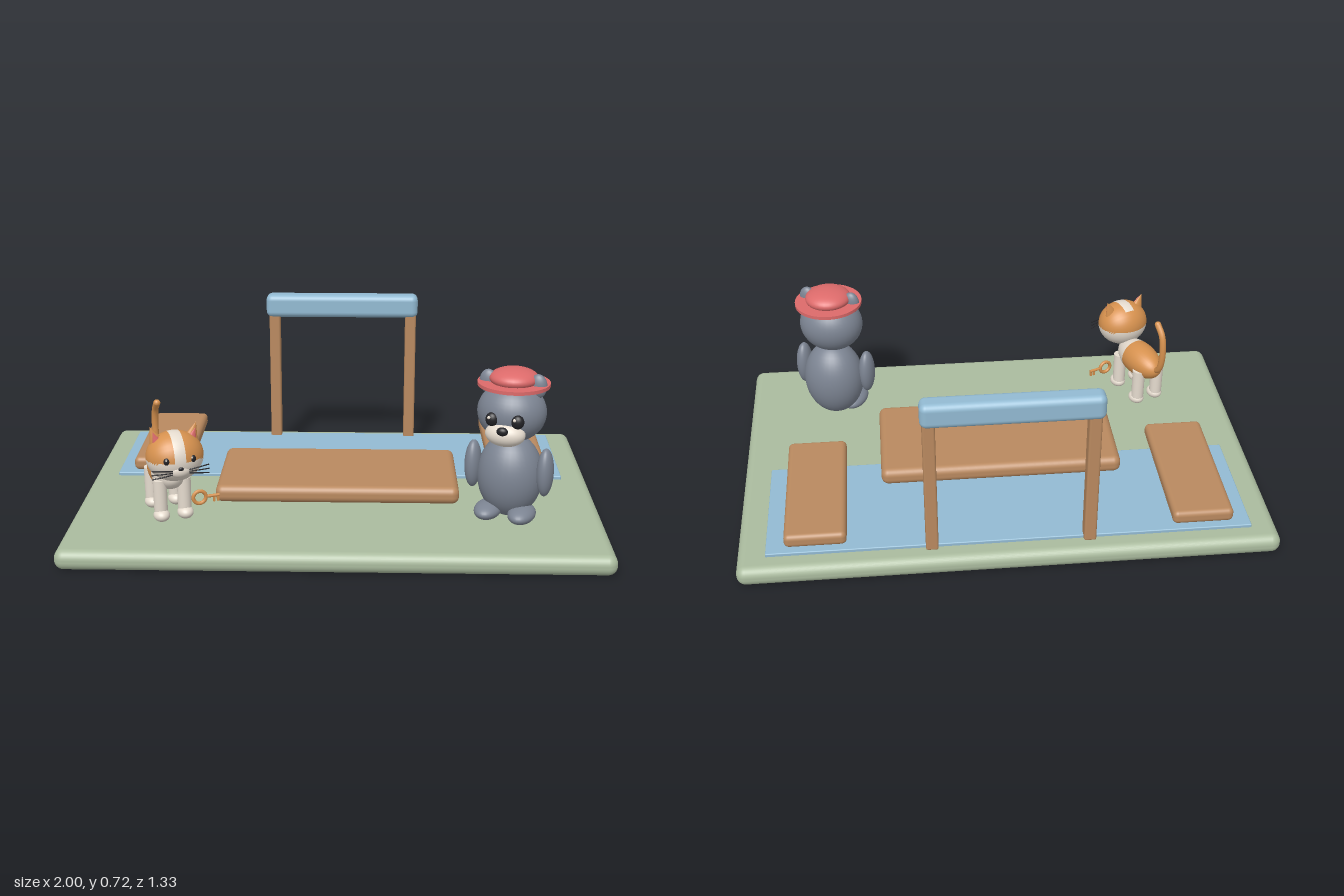
import * as THREE from 'three';
import { RoundedBoxGeometry } from 'three/addons/geometries/RoundedBoxGeometry.js';

const mat = (name, color, opts = {}) => Object.assign(new THREE.MeshStandardMaterial({ color, ...opts }), { name });

export function createModel() {
  const green = mat('sage green', 0xaabb9e);
  const wood = mat('wood', 0xb9895f);
  const blue = mat('soft blue', 0x92bad2);
  const grey = mat('bear grey', 0x7c8492);
  const coral = mat('coral', 0xdc6a6a);
  const cream = mat('cream', 0xe6dccf);
  const orange = mat('ginger', 0xd6914e);
  const black = mat('black', 0x222226);

  const add = (parent, name, geometry, material, x = 0, y = 0, z = 0) => {
    const mesh = new THREE.Mesh(geometry, material);
    mesh.name = name;
    mesh.position.set(x, y, z);
    parent.add(mesh);
    return mesh;
  };
  // rounded block given by its extents
  const block = (parent, name, material, [x0, x1], [y0, y1], [z0, z1], r) =>
    add(parent, name, new RoundedBoxGeometry(x1 - x0, y1 - y0, z1 - z0, 4, r), material,
      (x0 + x1) / 2, (y0 + y1) / 2, (z0 + z1) / 2);
  const ball = (parent, name, material, [x, y, z], [rx, ry, rz]) =>
    add(parent, name, new THREE.SphereGeometry(1, 32, 24).scale(rx, ry, rz), material, x, y, z);
  const tube = (parent, name, material, points, r, n = 24) =>
    add(parent, name, new THREE.TubeGeometry(
      new THREE.CatmullRomCurve3(points.map(p => new THREE.Vector3(...p))), n, r, 10), material);

  // gives each triangle of a geometry a material index chosen from its centre
  const paint = (geometry, rule) => {
    const g = geometry.toNonIndexed(), p = g.attributes.position;
    g.clearGroups();
    for (let i = 0; i < p.count; i += 3) {
      const c = new THREE.Vector3();
      for (let k = 0; k < 3; k++) c.add(new THREE.Vector3().fromBufferAttribute(p, i + k));
      const index = rule(c.divideScalar(3)), last = g.groups[g.groups.length - 1];
      if (last && last.materialIndex === index) last.count += 3;
      else g.addGroup(i, 3, index);
    }
    return g;
  };

  const model = new THREE.Group();
  model.name = 'playground';

  // ground slab and mat
  block(model, 'base', green, [-1, 1], [0, 0.077], [-0.665, 0.665], 0.035);
  block(model, 'mat', blue, [-0.9, 0.895], [0.07, 0.09], [-0.59, -0.085], 0.004);

  // planks
  block(model, 'middlePlank', wood, [-0.47, 0.465], [0.087, 0.155], [-0.23, 0.225], 0.028);
  for (const s of [-1, 1])
    block(model, 'sidePlank', wood, [s * 0.71 - 0.113, s * 0.71 + 0.113], [0.122, 0.176], [-0.605, 0.03], 0.02);

  // frame
  for (const s of [-1, 1])
    block(model, 'framePost', wood, [s * 0.29 - 0.023, s * 0.29 + 0.023], [0.077, 0.65], [-0.61, -0.555], 0.008);
  block(model, 'frameBar', blue, [-0.325, 0.32], [0.623, 0.72], [-0.625, -0.545], 0.025);

  // bear, turned a little to its right
  const bear = new THREE.Group();
  bear.name = 'bear';
  bear.position.set(0.64, 0, 0.32);
  bear.rotation.y = -0.35;
  model.add(bear);
  ball(bear, 'bearBody', grey, [0, 0.255, -0.005], [0.122, 0.16, 0.11]);
  ball(bear, 'bearHead', grey, [0, 0.505, 0.008], [0.127, 0.112, 0.113]);
  ball(bear, 'bearMuzzle', cream, [0, 0.445, 0.095], [0.074, 0.046, 0.05]);
  ball(bear, 'bearNose', black, [0, 0.468, 0.14], [0.021, 0.016, 0.014]);
  for (const s of [-1, 1]) {
    ball(bear, 'bearArm', grey, [s * 0.136, 0.288, 0.018], [0.031, 0.092, 0.044]);
    ball(bear, 'bearFoot', grey, [s * 0.064, 0.127, 0.05], [0.05, 0.032, 0.08]);
    ball(bear, 'bearEar', grey, [s * 0.092, 0.61, 0.008], [0.033, 0.045, 0.021]);
    ball(bear, 'bearEye', black, [s * 0.047, 0.5, 0.109], [0.024, 0.026, 0.019]);
    ball(bear, 'bearEyeGlint', cream, [s * 0.047 - 0.008, 0.51, 0.126], [0.006, 0.006, 0.004]);
  }
  // hat
  add(bear, 'hatBrim', new THREE.CylinderGeometry(0.132, 0.132, 0.013, 48), coral, 0, 0.608, -0.005);
  ball(bear, 'hatCrown', coral, [0, 0.628, -0.005], [0.09, 0.038, 0.09]);

  // cat, turned a little to its left
  const cat = new THREE.Group();
  cat.name = 'cat';
  cat.position.set(-0.635, 0, 0.32);
  cat.rotation.y = 0.39;
  model.add(cat);
  const body = new THREE.SphereGeometry(1, 32, 24).rotateX(Math.PI / 2).scale(0.068, 0.068, 0.13);
  add(cat, 'catBody', paint(body, c => (c.z > 0.03 ? 1 : 0)), [orange, cream], 0, 0.265, -0.005);
  const head = new THREE.SphereGeometry(1, 32, 32).rotateZ(Math.PI / 2).scale(0.105, 0.093, 0.092);
  add(cat, 'catHead', paint(head, c => (c.y < -0.004 || (Math.abs(c.x) < 0.02 && c.z > -0.05) ? 1 : 0)),
    [orange, cream], 0, 0.367, 0.14);
  ball(cat, 'catMuzzle', cream, [0, 0.333, 0.21], [0.04, 0.026, 0.022]);
  ball(cat, 'catNose', black, [0, 0.346, 0.231], [0.01, 0.007, 0.006]);

  for (const s of [-1, 1]) {
    for (const z of [0.075, -0.07]) {
      add(cat, 'catLeg', new THREE.CylinderGeometry(0.026, 0.025, 0.14, 20), cream, s * 0.045, 0.185, z);
      ball(cat, 'catPaw', cream, [s * 0.045, 0.118, z + 0.008], [0.03, 0.024, 0.036]);
    }
    ball(cat, 'catEye', black, [s * 0.047, 0.375, 0.217], [0.012, 0.014, 0.009]);
    ball(cat, 'catEyeGlint', cream, [s * 0.047 - 0.004, 0.381, 0.225], [0.003, 0.003, 0.003]);
    // ear with a coral lining on its front
    const ear = new THREE.Group();
    ear.name = 'catEarGroup';
    ear.position.set(s * 0.07, 0.444, 0.135);
    ear.rotation.z = -s * 0.35;
    cat.add(ear);
    add(ear, 'catEar', new THREE.ConeGeometry(0.036, 0.085, 24).scale(1, 1, 0.6), orange);
    add(ear, 'catEarLining', new THREE.ConeGeometry(0.024, 0.06, 24).scale(1, 1, 0.5), coral, 0, -0.006, 0.013);
    // whiskers
    for (const k of [-1, 0, 1])
      tube(cat, 'catWhisker', black, [[s * 0.03, 0.333 + k * 0.006, 0.228],
        [s * 0.065, 0.334 + k * 0.011, 0.23], [s * 0.105, 0.332 + k * 0.016, 0.222]], 0.0022, 6);
  }
  // tail
  tube(cat, 'catTail', orange, [[0, 0.265, -0.11], [0, 0.29, -0.145], [0, 0.37, -0.163],
    [0, 0.45, -0.15], [0, 0.488, -0.115]], 0.013);
  ball(cat, 'catTailTip', orange, [0, 0.488, -0.115], [0.013, 0.013, 0.013]);

  // small key held beside the front leg
  const key = new THREE.Group();
  key.name = 'key';
  key.position.set(0.093, 0.18, 0.114);
  cat.add(key);
  add(key, 'keyRing', new THREE.TorusGeometry(0.024, 0.007, 10, 28), orange);
  add(key, 'keyStem', new THREE.CylinderGeometry(0.006, 0.006, 0.05, 10).rotateZ(Math.PI / 2), orange, 0.05);
  for (const x of [0.055, 0.07])
    add(key, 'keyTooth', new THREE.BoxGeometry(0.008, 0.022, 0.008), orange, x, -0.012);

  // side planks sit level with the back of the frame
  model.children.filter(c => c.name === 'sidePlank').forEach(c => {
    c.scale.z = 0.58 / 0.635;
    c.position.z = -0.315;
  });
  return model;
}
